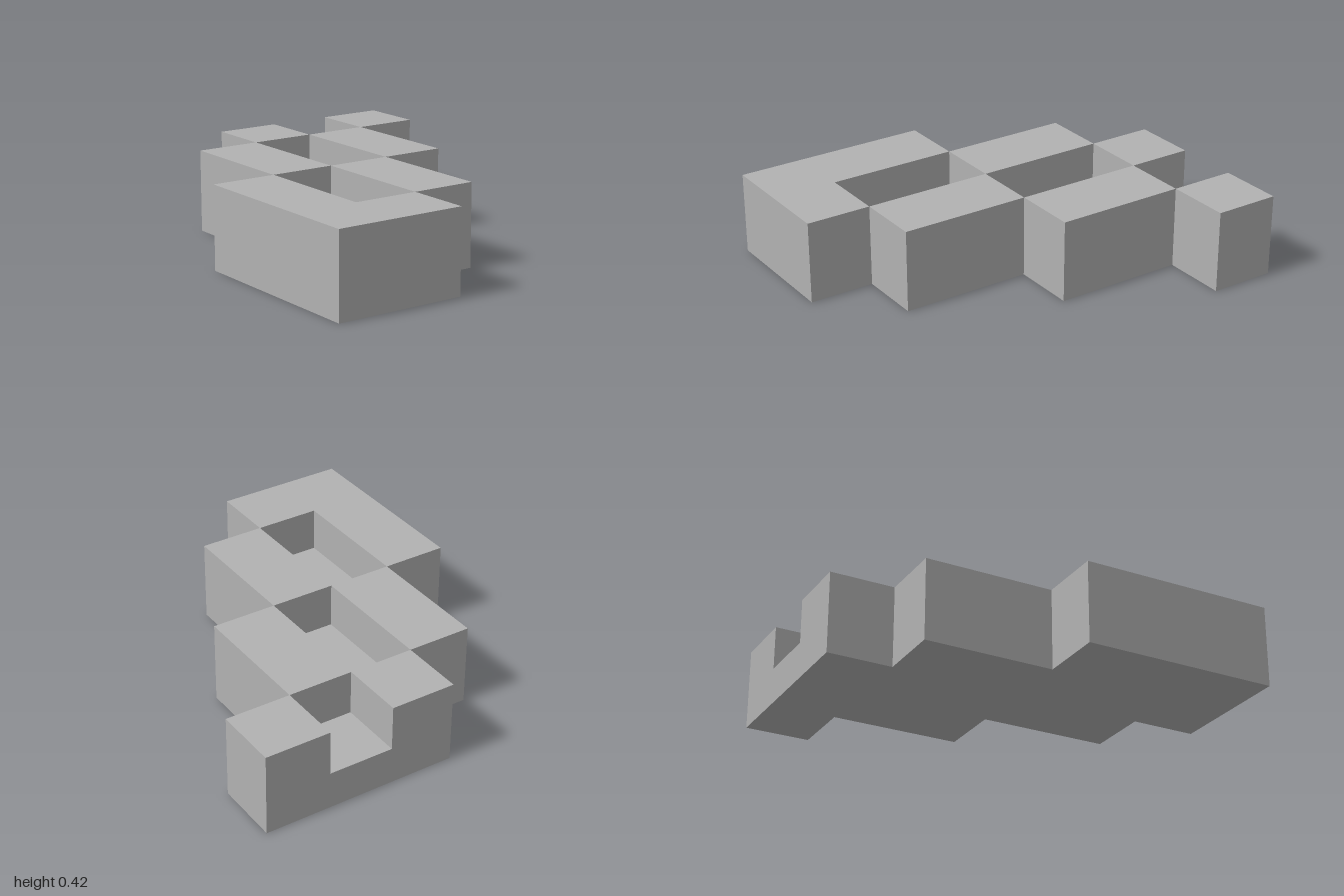
import * as THREE from 'three';

const CELL = 1 / 3;      // plan grid: 6 columns (x) by 5 rows (z)
const FLOOR = 0.19;      // height of the sunken floors
const TOP = 0.417;       // height of the raised blocks

export function createModel() {
  const group = new THREE.Group();
  group.name = 'steppedBlocks';
  const grey = new THREE.MeshStandardMaterial({ color: 0xb2b2b2 });
  grey.name = 'light grey';

  // Extrude a plan outline, given in grid cells [column, row], between two heights
  function slab(name, cells, y0, y1) {
    const points = cells.map(([c, r]) => new THREE.Vector2((c - 3) * CELL, (2.5 - r) * CELL));
    const geometry = new THREE.ExtrudeGeometry(new THREE.Shape(points), { depth: y1 - y0, bevelEnabled: false });
    geometry.rotateX(-Math.PI / 2).translate(0, y0, 0);
    const mesh = new THREE.Mesh(geometry, grey);
    mesh.name = name;
    group.add(mesh);
  }
  const rect = (c0, r0, c1, r1) => [[c0, r0], [c1, r0], [c1, r1], [c0, r1]];

  // Stepped base, forming the floors of the sunken areas
  slab('base', [
    [0, 0], [1, 0], [1, 1], [3, 1], [3, 2], [5, 2], [5, 3], [6, 3],
    [6, 5], [3, 5], [3, 4], [1, 4], [1, 3], [0, 3],
  ], 0, FLOOR);

  // Raised blocks either side of the sunken areas
  const blocks = {
    backEndBlock: rect(0, 0, 1, 1),
    frontEndBlock: rect(0, 2, 1, 3),
    backMiddleBlock: rect(1, 1, 3, 2),
    frontMiddleBlock: rect(1, 3, 3, 4),
    backLeftBlock: rect(3, 2, 5, 3),
    cornerBlock: [[5, 3], [6, 3], [6, 5], [3, 5], [3, 4], [5, 4]],
  };
  for (const [name, cells] of Object.entries(blocks)) slab(name, cells, FLOOR, TOP);

  return group;
}
